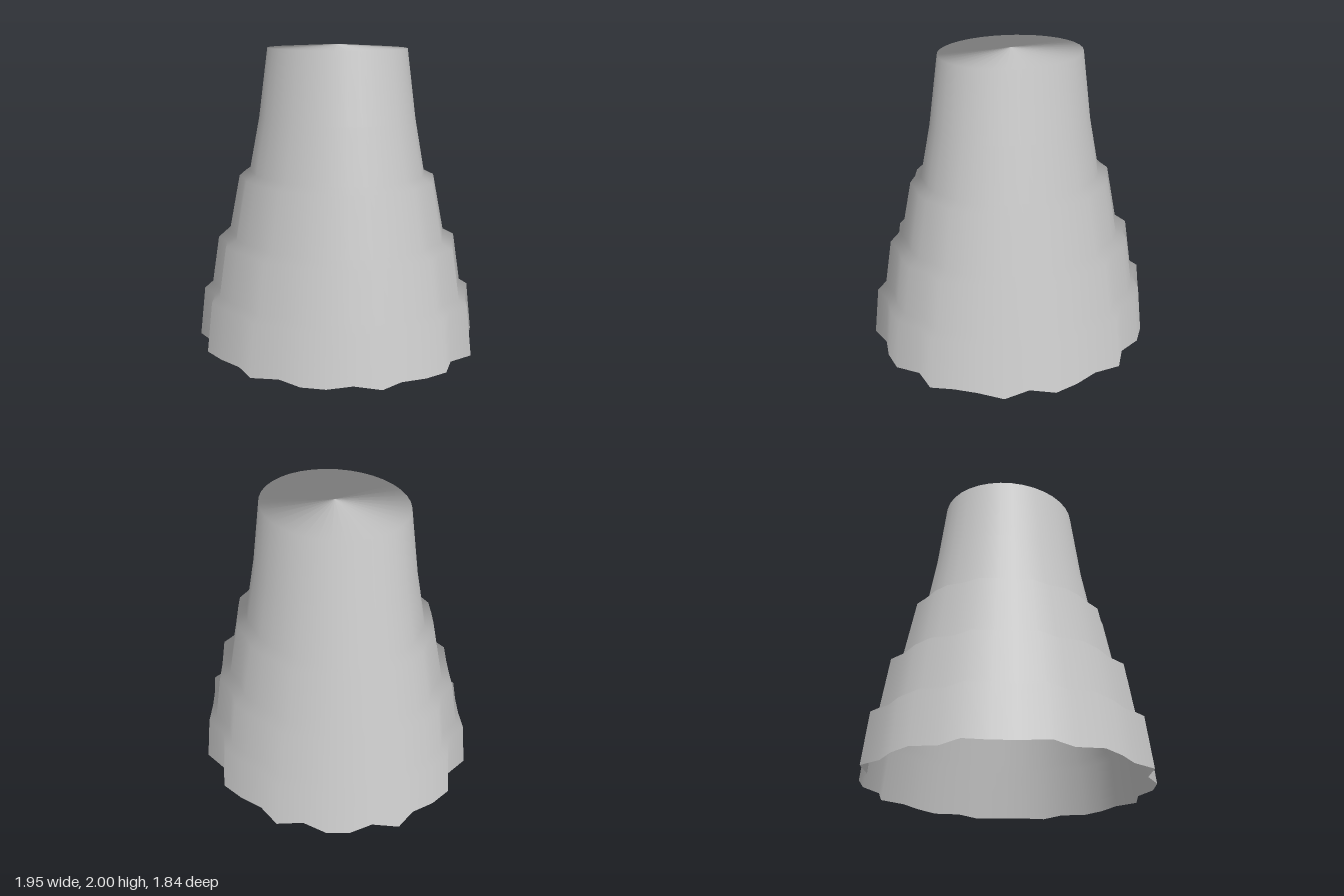
import * as THREE from 'three';

// Half of the ragged foot outline as [x, z]; the other half is its half-turn
const half = [
  [0.975, 0], [0.942, 0.157], [0.869, 0.304], [0.859, 0.466], [0.702, 0.555], [0.618, 0.702],
  [0.487, 0.791], [0.314, 0.812], [0.173, 0.922], [0, 0.874], [-0.173, 0.885], [-0.34, 0.869],
  [-0.455, 0.743], [-0.634, 0.712], [-0.728, 0.555], [-0.822, 0.429], [-0.927, 0.32], [-0.895, 0.147],
];
const outline = [...half, ...half.map(([x, z]) => [-x, -z])];

// Tiers from the top down: height, radius, raggedness of the outline
const tiers = [
  [2, 0, 0], [1.975, 0.487, 0], [1.52, 0.55, 0.12], [1.16, 0.62, 0.3], [1.125, 0.69, 0.45],
  [0.74, 0.765, 0.6], [0.7, 0.84, 0.72], [0.37, 0.89, 0.83], [0.335, 0.945, 0.87], [0, 0.98, 1],
];
const DEPTH = 0.89; // the rings are ellipses, narrower front to back

function tieredShell() {
  const n = outline.length;
  const positions = [], normals = [], index = [];
  const normal = new THREE.Vector3();
  tiers.forEach(([y, radius, ragged], row) => {
    for (let i = 0; i <= n; i++) {
      const angle = (i / n) * Math.PI * 2;
      const [ox, oz] = outline[i % n];
      const x = THREE.MathUtils.lerp(Math.cos(angle), ox / 0.98, ragged);
      const z = THREE.MathUtils.lerp(DEPTH * Math.sin(angle), oz / 0.98, ragged);
      positions.push(x * radius, y, z * radius);
      // soft outward normals run unbroken over the ledges and the cap
      normal.set(Math.cos(angle), 0.2, Math.sin(angle) / DEPTH).normalize();
      normals.push(normal.x, normal.y, normal.z);
      if (row < tiers.length - 1 && i < n) {
        const a = row * (n + 1) + i, c = a + n + 1;
        if (row > 0) index.push(a, a + 1, c);
        index.push(a + 1, c + 1, c);
      }
    }
  });
  const geometry = new THREE.BufferGeometry();
  geometry.setAttribute('position', new THREE.Float32BufferAttribute(positions, 3));
  geometry.setAttribute('normal', new THREE.Float32BufferAttribute(normals, 3));
  geometry.setIndex(index);
  return geometry;
}

export function createModel() {
  const grey = new THREE.MeshStandardMaterial({ color: 0xcccccc, side: THREE.DoubleSide });
  grey.name = 'light grey';
  const group = new THREE.Group();
  group.name = 'tieredCone';

  // Hollow shell, open at the foot
  const shell = new THREE.Mesh(tieredShell(), grey);
  shell.name = 'tieredShell';
  group.add(shell);
  return group;
}
